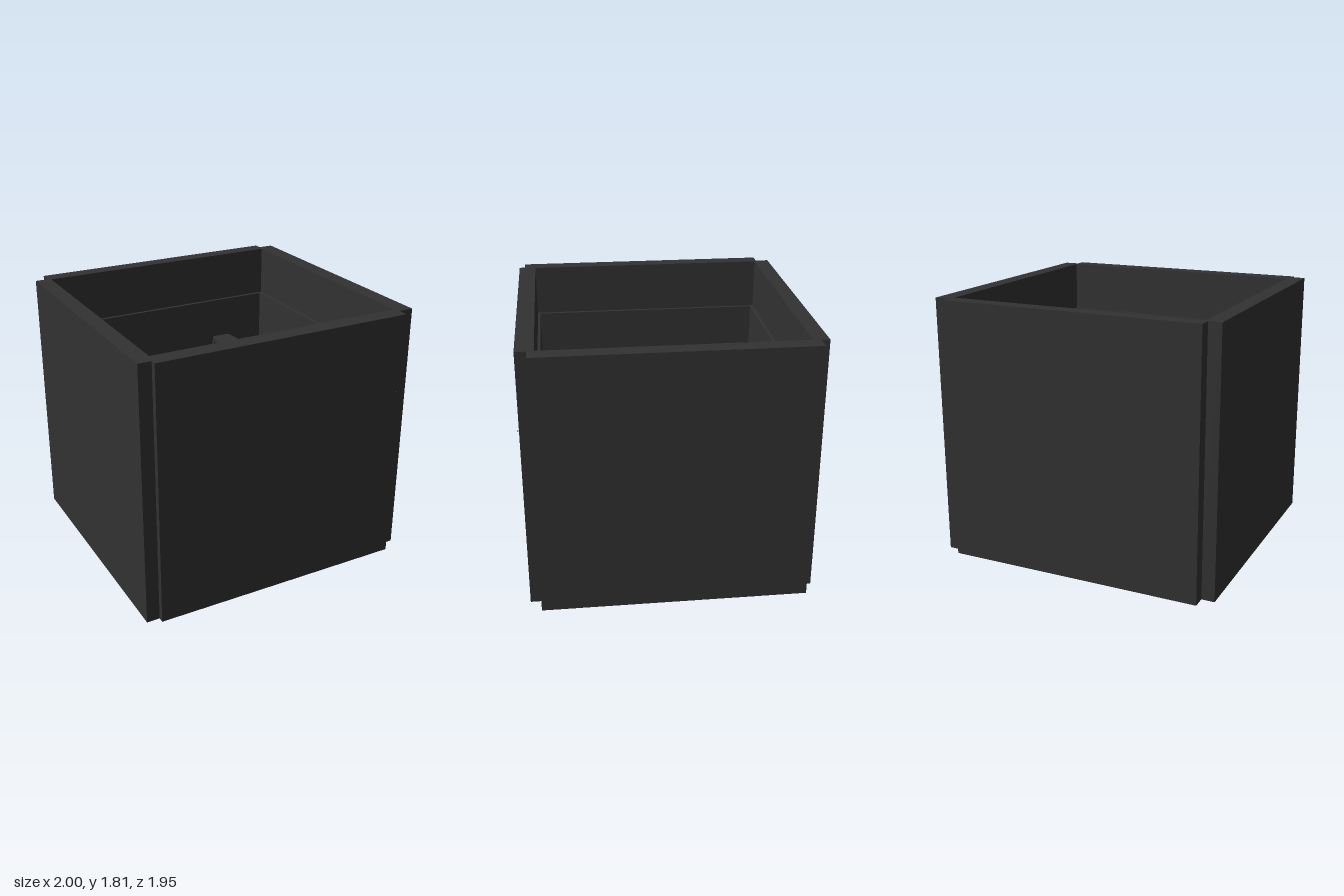
import * as THREE from 'three';

export function createModel() {
  const model = new THREE.Group();
  model.name = 'planterBox';
  const charcoal = new THREE.MeshStandardMaterial({ color: 0x323232 });
  charcoal.name = 'charcoal';

  const add = (name, geometry) => {
    const mesh = new THREE.Mesh(geometry, charcoal);
    mesh.name = name;
    model.add(mesh);
    return mesh;
  };
  // Box given by its limits on each axis
  const block = (name, x0, x1, y0, y1, z0, z1) =>
    add(name, new THREE.BoxGeometry(x1 - x0, y1 - y0, z1 - z0))
      .position.set((x0 + x1) / 2, (y0 + y1) / 2, (z0 + z1) / 2);

  // Four outer panels, offset from each other at the corners
  const H = 1.81;
  block('frontPanel', -0.91, 0.895, 0, H, 0.84, 0.96);
  block('backPanel', -0.91, 0.895, 0, H, -0.977, -0.87);
  block('rightPanel', -1, -0.89, 0, H, -0.885, 0.92);
  block('leftPanel', 0.885, 1, 0, H, -0.92, 0.885);

  // Inner liner with a narrow ledge, and the floor that closes it
  const linerTop = 1.45, floorY = 0.845, floorTop = 0.87;
  block('linerFront', -0.89, 0.885, floorY, linerTop, 0.82, 0.84);
  block('linerBack', -0.89, 0.885, floorY, linerTop, -0.87, -0.845);
  block('linerRight', -0.89, -0.865, floorY, linerTop, -0.845, 0.82);
  block('linerLeft', 0.86, 0.885, floorY, linerTop, -0.845, 0.82);
  block('floor', -0.865, 0.86, floorY, floorTop, -0.845, 0.82);

  // Support frame: two long bars with tapered, rounded ends
  const frameTop = 1.15, thick = 0.03, z0 = -0.84, z1 = 0.79, taper = 0.01, r = 0.025;
  for (const [side, x0, x1] of [['right', -0.61, -0.44], ['left', 0.405, 0.575]]) {
    const a = x0 + taper, b = x1 - taper;
    const bar = new THREE.Shape();
    bar.moveTo(x0, z0 + 0.1);
    bar.lineTo(a, z0 + r);
    bar.quadraticCurveTo(a, z0, a + r, z0);
    bar.lineTo(b - r, z0);
    bar.quadraticCurveTo(b, z0, b, z0 + r);
    bar.lineTo(x1, z0 + 0.1);
    bar.lineTo(x1, z1 - 0.1);
    bar.lineTo(b, z1 - r);
    bar.quadraticCurveTo(b, z1, b - r, z1);
    bar.lineTo(a + r, z1);
    bar.quadraticCurveTo(a, z1, a, z1 - r);
    bar.lineTo(x0, z1 - 0.1);
    bar.closePath();
    const geometry = new THREE.ExtrudeGeometry(bar, { depth: thick, bevelEnabled: false, curveSegments: 4 });
    geometry.rotateX(Math.PI / 2);
    add(side + 'FrameBar', geometry).position.y = frameTop;
    // Thin legs standing on the floor at both ends of the bar
    block(side + 'BackLeg', a, b, floorTop, frameTop - thick, z0 + 0.005, z0 + 0.03);
    block(side + 'FrontLeg', a, b, floorTop, frameTop - thick, z1 - 0.03, z1 - 0.005);
  }
  block('backCrossBar', -0.44, 0.405, frameTop - thick, frameTop, -0.635, -0.465);
  block('frontCrossBar', -0.44, 0.405, frameTop - thick, frameTop, 0.37, 0.54);

  // Tiny fastener tip on the front
  const pin = add('fastenerTip', new THREE.CylinderGeometry(0.003, 0.003, 0.016, 8));
  pin.rotation.x = Math.PI / 2;
  pin.position.set(0.855, 1.27, 0.967);

  return model;
}
